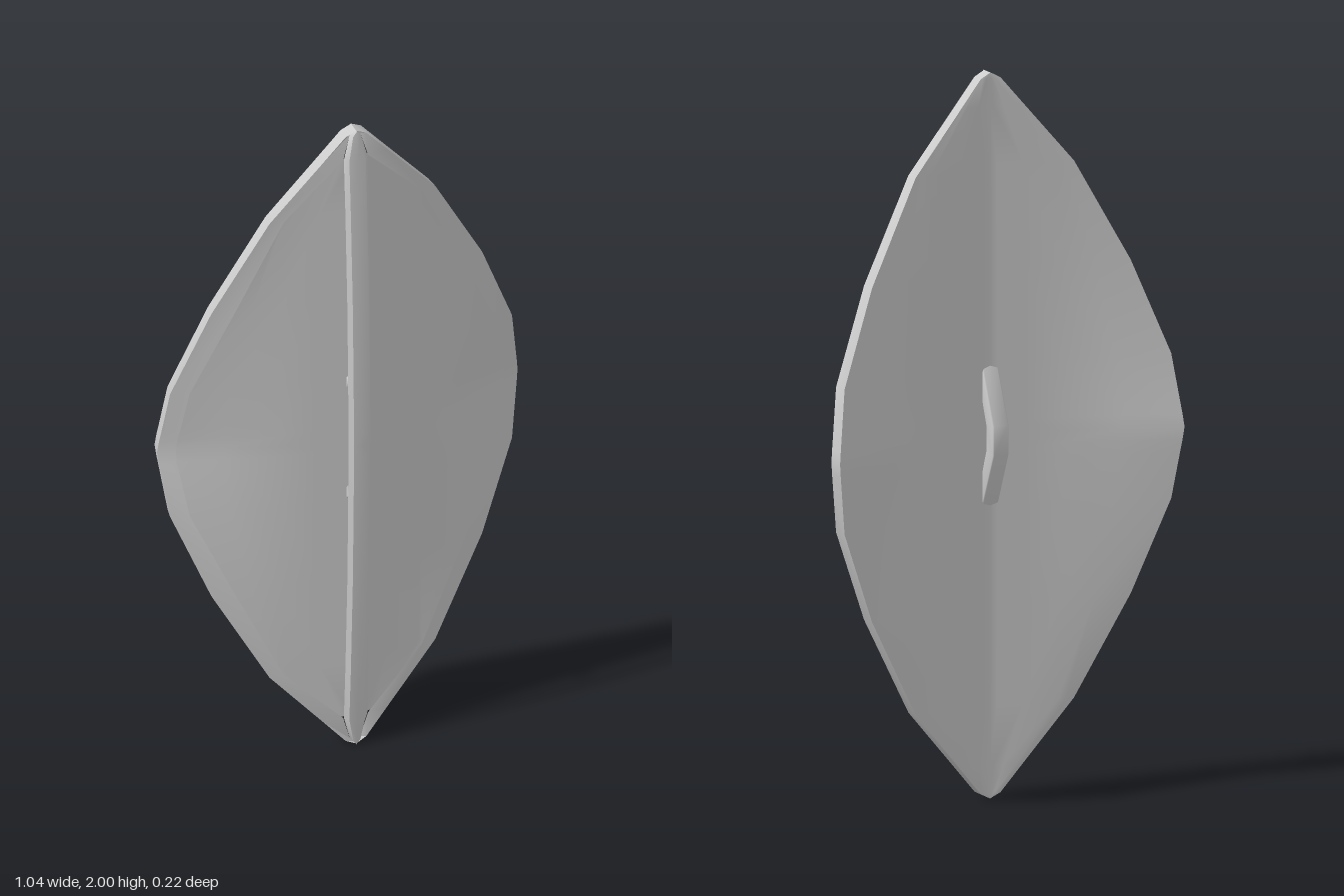
import * as THREE from 'three';
import { toCreasedNormals } from 'three/addons/utils/BufferGeometryUtils.js';

const material = new THREE.MeshStandardMaterial({ color: 0xcccccc });

// Rows of the upper half: height from the middle, outer half width,
// inner (panel) half width, ridge half width, z of the rear edge
const HALF = [
  [0, 0.522, 0.475, 0.034, -0.109],
  [0.035, 0.518, 0.474, 0.034, -0.105],
  [0.07, 0.513, 0.467, 0.034, -0.1],
  [0.2, 0.495, 0.445, 0.034, -0.082],
  [0.46, 0.392, 0.33, 0.034, -0.042],
  [0.74, 0.24, 0.2, 0.034, -0.002],
  [0.91, 0.094, 0.036, 0.034, 0.016],
  [0.985, 0.03, 0.015, 0.015, 0.024],
  [1, 0, 0, 0, 0.026],
].map(([y, xo, xi, xr, ze]) => ({ y, xo, xi, xr, ze }));
const ROWS = [...HALF.slice(1).reverse().map(r => ({ ...r, y: -r.y })), ...HALF];
const CENTRE = 0.027;
const PANEL = 0.029;

// Rear surface: gentle slope near the middle, steeper towards the edge
const bendX = r => Math.min(0.2, r.xo * 0.8);
function backZ(r, x) {
  const b = bendX(r), zb = CENTRE - 0.14 * b;
  if (x <= b) return CENTRE - 0.14 * x;
  return zb + (r.ze - zb) * (x - b) / (r.xo - b);
}
const ridgeZ = r => 0.103 - 0.039 * r.y * r.y;

// Points from near the middle to x = end, following the rear surface
function halfSection(r, end, lift) {
  const b = Math.min(bendX(r), end);
  const xs = [b * 0.1, b * 0.5, b, (b + end) / 2, end];
  return xs.map(x => [x, backZ(r, x) + lift]);
}

// Skin over rows of [x, z] points that run left to right, from bottom to top
function loft(name, rows, section, flip = false) {
  const pos = [], index = [];
  let n = 0;
  rows.forEach(r => {
    const pts = section(r);
    n = pts.length;
    pts.forEach(([x, z]) => pos.push(x, r.y + 1, z));
  });
  const v = i => new THREE.Vector3().fromArray(pos, i * 3);
  const tri = (a, b, c) => {
    if (new THREE.Triangle(v(a), v(b), v(c)).getArea() < 1e-8) return;
    index.push(a, ...(flip ? [c, b] : [b, c]));
  };
  for (let j = 0; j < rows.length - 1; j++) {
    for (let i = 0; i < n - 1; i++) {
      const a = j * n + i, b = a + 1, c = a + n, d = c + 1;
      // diagonals mirror about the middle height
      if (rows[j].y < 0) { tri(a, b, c); tri(b, d, c); }
      else { tri(a, b, d); tri(a, d, c); }
    }
  }
  const geo = new THREE.BufferGeometry();
  geo.setAttribute('position', new THREE.Float32BufferAttribute(pos, 3));
  geo.setIndex(index);
  const mesh = new THREE.Mesh(toCreasedNormals(geo, 0.6), material);
  mesh.name = name;
  return mesh;
}

const mirrored = pts => pts.map(([x, z]) => [-x, z]).reverse();
const full = (half, z) => [...mirrored(half), [0, z], ...half];

export function createModel() {
  const group = new THREE.Group();
  group.name = 'shield';

  // Rear skin across the full width
  group.add(loft('back', ROWS, r =>
    full(halfSection(r, r.xo, 0).map(([x, z]) => [x * 0.985, z]), CENTRE), true));

  // Front skin, running on behind the ridge and the rim
  const frontRows = ROWS.filter(r => Math.abs(r.y) < 0.95);
  group.add(loft('frontPanel', frontRows, r =>
    full(halfSection(r, (r.xi + r.xo) / 2, PANEL), CENTRE + PANEL)));

  // Raised central ridge with softened edges
  const ridgeHalf = r => [[r.xr * 0.7, ridgeZ(r) + 0.002], [r.xr, ridgeZ(r) - 0.012]];
  group.add(loft('ridge', ROWS, r => full(ridgeHalf(r), ridgeZ(r) + 0.004)));

  // Rim band and outer wall on both sides
  const rimHalf = r => [
    [r.xi, Math.abs(r.y) > 0.9 ? ridgeZ(r) - 0.012 : backZ(r, r.xi) + 0.041],
    [r.xo, r.ze + 0.037],
    [r.xo * 0.985, r.ze],
  ];
  for (const [side, place] of [['left', p => p], ['right', mirrored]]) {
    group.add(loft(side + 'Rim', ROWS, r => place(rimHalf(r))));
  }

  // Bent hand grip behind the middle
  const outer = [[0.037, -0.207], [-0.036, -0.04], [-0.036, 0.04], [0.037, 0.207]];
  const inner = [[0.06, 0.187], [-0.002, 0.032], [-0.002, -0.032], [0.06, -0.187]];
  const shape = new THREE.Shape([...outer, ...inner].map(([z, y]) => new THREE.Vector2(z, y)));
  const grip = new THREE.ExtrudeGeometry(shape, {
    depth: 0.04, bevelEnabled: true, bevelSize: 0.004, bevelThickness: 0.004, bevelSegments: 2,
  });
  grip.translate(0, 0, -0.02).rotateY(-Math.PI / 2).translate(0, 1, 0);
  const handle = new THREE.Mesh(toCreasedNormals(grip, 0.9), material);
  handle.name = 'handle';
  group.add(handle);

  return group;
}
